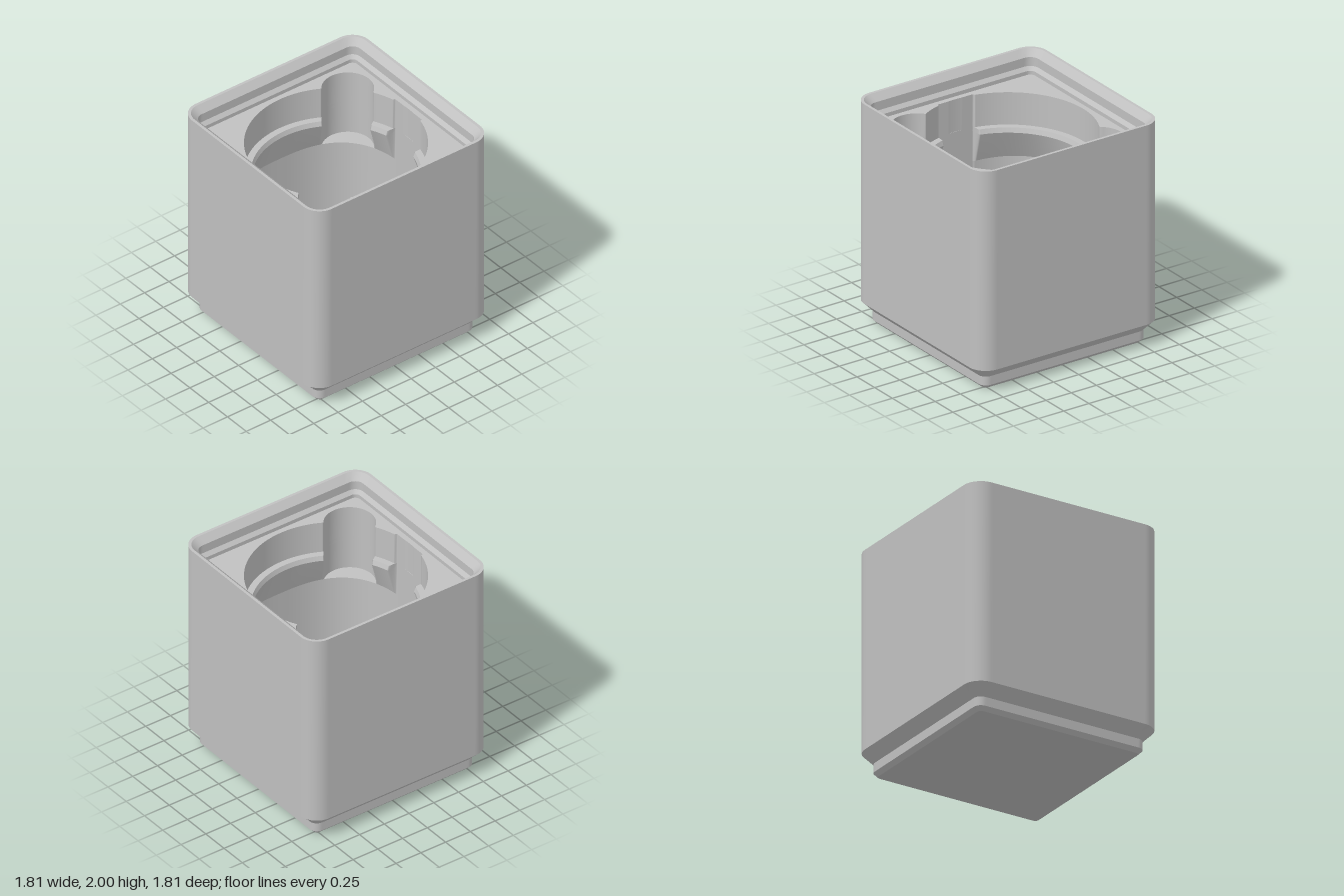
import * as THREE from 'three';

const N = 720; // samples round each cross-section

// Cross-sections given as radius at an angle
const circle = (r) => () => r;

const roundedSquare = (half, rad) => (t) => {
  const c = Math.abs(Math.cos(t)), s = Math.abs(Math.sin(t));
  const flat = half / Math.max(c, s), k = half - rad;
  if (Math.min(c, s) * flat <= k) return flat;
  const along = k * (c + s);
  return along + Math.sqrt(Math.max(0, along * along - 2 * k * k + rad * rad));
};

// Square with bulging sides
const bulgedSquare = (half, n) => (t) =>
  half * (Math.abs(Math.cos(t)) ** n + Math.abs(Math.sin(t)) ** n) ** (-1 / n);

// Straight slot running left to right
const slot = (t) => Math.min(0.745 / Math.max(1e-6, Math.abs(Math.cos(t))),
  0.178 / Math.max(1e-6, Math.abs(Math.sin(t))));

// Round finger notches on the back-left and front-right diagonal
const notch = (t) => {
  const d = 0.75, r = 0.215, a = t + Math.PI / 4;
  const h = r * r - (d * Math.sin(a)) ** 2;
  return h < 0 ? 0 : d * Math.abs(Math.cos(a)) + Math.sqrt(h);
};

const union = (...fs) => (t) => Math.max(...fs.map((f) => f(t)));

// Surface between two cross-sections [radius function, height]
function band([fa, ya], [fb, yb], material) {
  const pos = [], idx = [];
  for (let i = 0; i < N; i++) {
    const t = (i / N) * Math.PI * 2, c = Math.cos(t), s = Math.sin(t);
    const ra = fa(t), rb = fb(t), j = (i + 1) % N;
    pos.push(ra * c, ya, ra * s, rb * c, yb, rb * s);
    idx.push(2 * i, 2 * i + 1, 2 * j, 2 * j, 2 * i + 1, 2 * j + 1);
  }
  const g = new THREE.BufferGeometry();
  g.setAttribute('position', new THREE.Float32BufferAttribute(pos, 3));
  g.setIndex(idx);
  g.computeVertexNormals();
  return new THREE.Mesh(g, material);
}

export function createModel() {
  const model = new THREE.Group();
  model.name = 'storageBin';
  const grey = new THREE.MeshStandardMaterial({ color: 0xc0c0c0 });
  grey.name = 'grey plastic';

  // A part is a run of cross-sections, each step with its own crisp edge
  const part = (name, ...sections) => {
    const group = new THREE.Group();
    group.name = name;
    for (let i = 0; i + 1 < sections.length; i++) {
      const mesh = band(sections[i], sections[i + 1], grey);
      mesh.name = name + 'Face' + (i + 1);
      group.add(mesh);
    }
    model.add(group);
  };

  const outer = roundedSquare(0.905, 0.163);
  const footMid = roundedSquare(0.81, 0.07);
  const lipTop = roundedSquare(0.88, 0.138);
  const lipMid = roundedSquare(0.823, 0.081);
  const lipInner = roundedSquare(0.793, 0.05);
  const centre = circle(0);

  // Stepped foot, side walls and stacking lip
  part('foot', [centre, 0], [roundedSquare(0.775, 0.035), 0], [footMid, 0.035], [footMid, 0.114], [outer, 0.21]);
  part('outerWall', [outer, 0.21], [outer, 2]);
  part('stackingLip', [outer, 2], [lipTop, 2], [lipMid, 1.943], [lipMid, 1.864], [lipInner, 1.834], [lipInner, 1.8]);

  // Deck with the pocket cut into it
  const mouth = union(circle(0.748), slot, notch);
  const ledgeEdge = union(circle(0.692), slot, notch);
  const neck = union(circle(0.677), slot, notch);
  const body = union(bulgedSquare(0.745, 2.7), slot);
  const bodyWithNotch = union(body, notch);
  part('deck', [lipInner, 1.8], [mouth, 1.8]);
  part('pocketMouth', [mouth, 1.8], [mouth, 1.51]);
  part('pocketLedge', [mouth, 1.51], [ledgeEdge, 1.51], [neck, 1.47]);
  part('pocketWall', [neck, 1.47], [bodyWithNotch, 1.2]);
  part('notchFloor', [bodyWithNotch, 1.2], [body, 1.2]);
  part('pocketFloor', [body, 1.2], [body, 0.26], [centre, 0.26]);

  return model;
}
